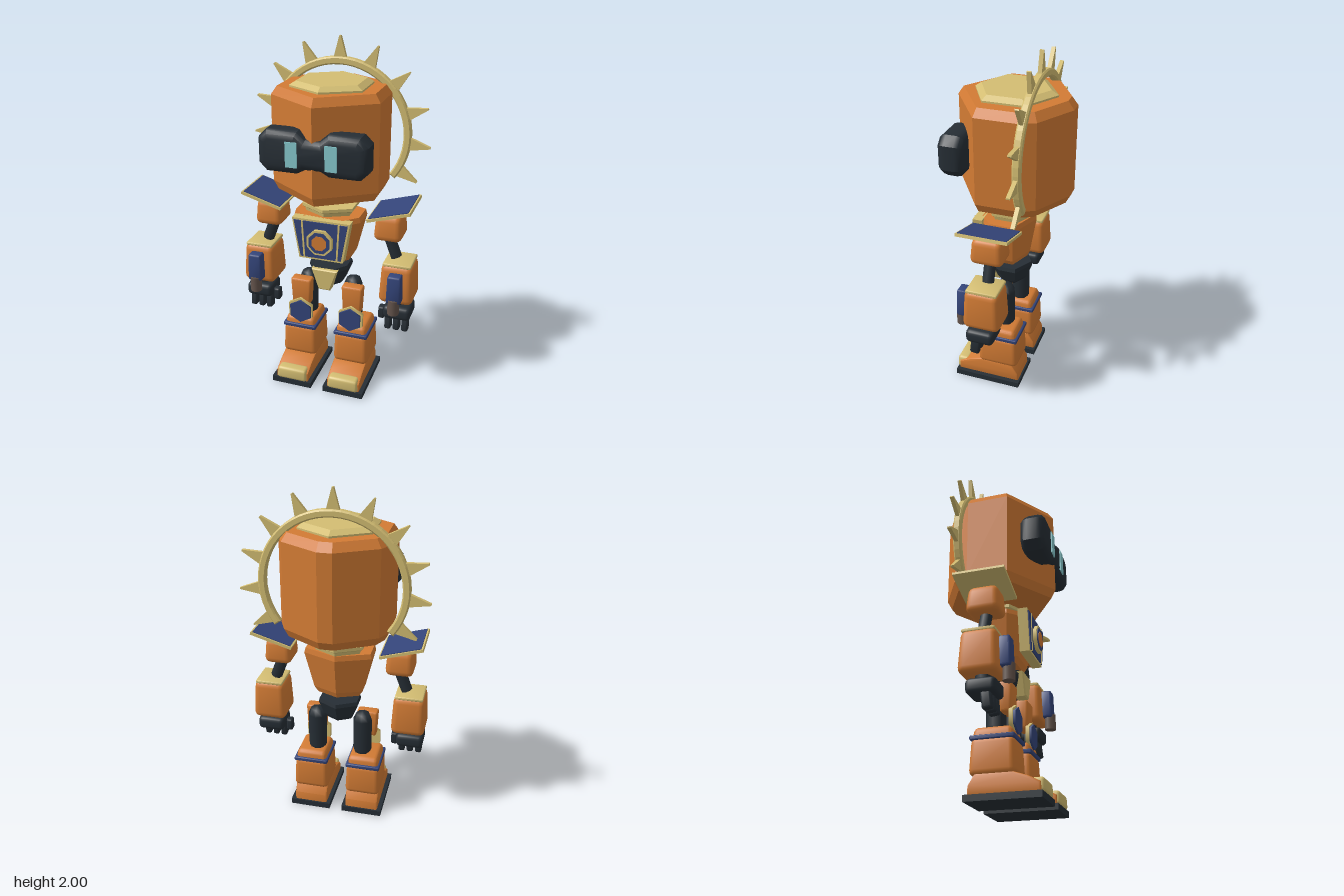
import * as THREE from 'three';
import { toCreasedNormals } from 'three/addons/utils/BufferGeometryUtils.js';
import { RoundedBoxGeometry } from 'three/addons/geometries/RoundedBoxGeometry.js';

const mat = (name, color) => {
  const m = new THREE.MeshStandardMaterial({ color });
  m.name = name;
  return m;
};

// Stack of scaled copies of a left-right symmetric polygon.
// half: [x, z] points from front to back on the +x side; levels: [y, scale].
function loft(half, levels) {
  const mirror = half.filter(p => p[0] > 0).reverse().map(([x, z]) => [-x, z]);
  const poly = half.concat(mirror), n = poly.length, pos = [];
  const pt = (l, i) => {
    const [y, s] = levels[l], [x, z] = poly[i % n];
    return [x * s, y, z * s];
  };
  const tri = (a, b, c) => pos.push(...a, ...b, ...c);
  for (let l = 0; l < levels.length - 1; l++) {
    for (let i = 0; i < n; i++) {
      tri(pt(l, i), pt(l, i + 1), pt(l + 1, i + 1));
      tri(pt(l, i), pt(l + 1, i + 1), pt(l + 1, i));
    }
  }
  const top = levels.length - 1;
  for (let i = 1; i < n - 1; i++) {
    tri(pt(top, 0), pt(top, i), pt(top, i + 1));
    tri(pt(0, 0), pt(0, i + 1), pt(0, i));
  }
  const g = new THREE.BufferGeometry();
  g.setAttribute('position', new THREE.Float32BufferAttribute(pos, 3));
  g.computeVertexNormals();
  return g;
}

// Rounded box whose top is scaled by `taper` relative to its bottom
function block(w, h, d, r, taper = 1) {
  const g = new RoundedBoxGeometry(w, h, d, 2, r), p = g.attributes.position;
  for (let i = 0; i < p.count; i++) {
    const k = 1 + (taper - 1) * (p.getY(i) / h + 0.5);
    p.setX(i, p.getX(i) * k);
    p.setZ(i, p.getZ(i) * k);
  }
  return toCreasedNormals(g, 0.6);
}

// Flat plate cut from an outline in the xy plane
function plate(points, depth, bevel = 0, segments = 1) {
  const shape = new THREE.Shape(points.map(([x, y]) => new THREE.Vector2(x, y)));
  return new THREE.ExtrudeGeometry(shape, {
    depth, bevelEnabled: bevel > 0, bevelSize: bevel, bevelThickness: bevel, bevelSegments: segments,
  });
}

// Trapezoid outline
const trap = (top, bottom, y0, y1) => [[-bottom, y0], [bottom, y0], [top, y1], [-top, y1]];

// Disc or polygon facing the front
const disc = (r, depth, sides, turn = 0) =>
  new THREE.CylinderGeometry(r, r, depth, sides, 1, false, turn).toNonIndexed().rotateX(Math.PI / 2);

export function createModel() {
  const orange = mat('orange', 0xd27b34), gold = mat('gold', 0xd3bd72), dark = mat('charcoal', 0x262e35);
  const blue = mat('navy', 0x34457a), cyan = mat('cyan', 0x87c9cd), brown = mat('brown', 0x64544c);
  const model = new THREE.Group();
  model.name = 'robot';
  const add = (name, geo, material, x = 0, y = 0, z = 0, parent = model) => {
    const m = new THREE.Mesh(geo, material);
    m.name = name;
    m.position.set(x, y, z);
    parent.add(m);
    return m;
  };

  // Head and its cap
  add('head', loft([[0, 0.308], [0.3, 0.11], [0.3, -0.125], [0.26, -0.21], [0.04, -0.337]],
    [[1.185, 0.92], [1.235, 1], [1.72, 1], [1.765, 0.9]]), orange);
  add('headCap', loft([[0, 0.21], [0.2, 0.1], [0.2, -0.125], [0, -0.245]],
    [[1.76, 1], [1.775, 1], [1.797, 0.84]]), gold);

  // Visor with two lobes, and eyes
  const lobe = [[0.055, 1.43], [0.1, 1.405], [0.235, 1.405], [0.255, 1.425],
    [0.255, 1.525], [0.235, 1.545], [0.1, 1.545], [0.055, 1.507]];
  const visor = lobe.concat(lobe.map(([x, y]) => [-x, y]).reverse());
  add('visor', toCreasedNormals(plate(visor, 0.055, 0.045, 3), 0.6), dark, 0, 0, 0.222);
  for (const s of [1, -1]) add('eye', new THREE.BoxGeometry(0.064, 0.135, 0.008), cyan, s * 0.107, 1.472, 0.325);

  // Open halo with spikes
  const halo = new THREE.Group();
  halo.name = 'halo';
  halo.position.set(0, 1.48, -0.15);
  model.add(halo);
  const a0 = -Math.PI / 5, a1 = Math.PI * 6 / 5;
  const arc = new THREE.Shape();
  arc.absarc(0, 0, 0.402, a0, a1, false);
  arc.absarc(0, 0, 0.376, a1, a0, true);
  add('haloRing', new THREE.ExtrudeGeometry(arc, {
    depth: 0.028, curveSegments: 20, bevelSize: 0.008, bevelThickness: 0.008, bevelSegments: 1,
  }), gold, 0, 0, -0.014, halo);
  const spike = plate([[-0.038, 0.395], [0.038, 0.395], [0.004, 0.52], [-0.004, 0.52]], 0.022);
  for (let i = -5; i <= 5; i++) {
    add('haloSpike', spike, gold, 0, 0, -0.011, halo).rotation.z = i * Math.PI * 24 / 180;
  }

  // Neck and torso
  add('neck', loft([[0, 0.15], [0.147, 0.075], [0.147, -0.075], [0, -0.15]],
    [[1.05, 0.85], [1.08, 0.9], [1.09, 1], [1.108, 1]]), gold);
  add('torso', loft([[0.12, 0.15], [0.195, 0.075], [0.195, -0.06], [0, -0.138]],
    [[0.775, 0.62], [0.81, 0.73], [1.03, 1], [1.06, 0.96]]), orange);

  // Chest plate and emblem
  add('chestFrame', plate(trap(0.168, 0.128, 0.82, 1.06), 0.055), gold, 0, 0, 0.128);
  add('chestPanel', plate(trap(0.156, 0.118, 0.832, 1.049), 0.006), blue, 0, 0, 0.183);
  for (const s of [1, -1]) {
    add('chestStrip', plate([[s * 0.09, 0.83], [s * 0.1, 0.83], [s * 0.112, 1.05], [s * 0.102, 1.05]]
      .slice()[s > 0 ? 'slice' : 'reverse'](), 0.008), gold, 0, 0, 0.184);
  }
  const eighth = Math.PI / 8;
  add('emblemRim', disc(0.079, 0.02, 8, eighth), gold, 0, 0.935, 0.198);
  add('emblemInlay', disc(0.066, 0.005, 8, eighth), blue, 0, 0.935, 0.209);
  add('emblemCore', disc(0.045, 0.008, 8, eighth), orange, 0, 0.935, 0.211);

  // Pelvis and its front plate
  add('pelvis', loft([[0.07, 0.11], [0.117, 0.05], [0.117, -0.05], [0, -0.115]],
    [[0.61, 0.6], [0.63, 0.72], [0.715, 1], [0.737, 0.95]]), dark);
  add('pelvisPlate', plate(trap(0.07, 0.03, 0.607, 0.723), 0.05, 0.007), gold, 0, 0, 0.075);

  for (const s of [1, -1]) {
    const arm = new THREE.Group(), leg = new THREE.Group();
    arm.name = s > 0 ? 'leftArm' : 'rightArm';
    leg.name = s > 0 ? 'leftLeg' : 'rightLeg';
    model.add(arm, leg);

    // Tilted shoulder pad
    const pad = new THREE.Group();
    pad.name = 'shoulderPad';
    pad.position.set(s * 0.368, 1.115, 0.008);
    pad.rotation.z = s * 0.287;
    arm.add(pad);
    add('padBase', new THREE.BoxGeometry(0.247, 0.016, 0.285), gold, 0, 0, 0, pad);
    add('padInlay', new THREE.BoxGeometry(0.228, 0.006, 0.268), blue, 0, 0.009, 0, pad);

    // Upper arm and forearm
    add('shoulder', block(0.163, 0.15, 0.19, 0.035, 0.85), orange, s * 0.352, 1.02, 0.01, arm);
    add('upperArm', new THREE.CylinderGeometry(0.034, 0.034, 0.18, 8), dark, s * 0.358, 0.91, 0.01, arm)
      .rotation.z = s * 0.36;
    add('forearm', block(0.198, 0.235, 0.215, 0.035, 0.88), orange, s * 0.414, 0.692, 0.017, arm);
    add('forearmCap', block(0.162, 0.02, 0.178, 0.008), gold, s * 0.414, 0.808, 0.015, arm);
    add('forearmPanel', block(0.086, 0.165, 0.07, 0.012, 0.88), blue, s * 0.417, 0.692, 0.14, arm);
    add('forearmBarrel', new THREE.CylinderGeometry(0.033, 0.033, 0.09, 10), brown, s * 0.417, 0.585, 0.155, arm);

    // Hand
    add('wrist', new THREE.CylinderGeometry(0.045, 0.045, 0.08, 8), dark, s * 0.42, 0.56, 0.025, arm);
    add('palm', block(0.158, 0.08, 0.16, 0.025), dark, s * 0.423, 0.508, 0.032, arm);
    for (let i = -1; i <= 1; i++) {
      add('finger', block(0.038, 0.11, 0.055, 0.012), dark, s * (0.42 + i * 0.05), 0.442, 0.06, arm)
        .rotation.x = -0.12;
    }
    add('thumb', block(0.038, 0.075, 0.05, 0.012), dark, s * 0.326, 0.476, 0.045, arm);
    add('thumbJoint', block(0.05, 0.03, 0.04, 0.01), dark, s * 0.345, 0.498, 0.045, arm);

    // Thigh and knee
    add('thigh', new THREE.CapsuleGeometry(0.056, 0.2, 2, 8), dark, s * 0.138, 0.5, 0, leg);
    add('thighPlate', block(0.11, 0.165, 0.06, 0.012, 1.14), orange, s * 0.156, 0.545, 0.07, leg);
    add('kneeRim', disc(0.083, 0.02, 6), gold, s * 0.156, 0.425, 0.105, leg);
    add('kneePlate', disc(0.073, 0.016, 6), blue, s * 0.153, 0.423, 0.119, leg);

    // Shin with a band
    add('shin', block(0.213, 0.195, 0.245, 0.03, 0.92), orange, s * 0.159, 0.227, 0.014, leg);
    add('shinTop', block(0.195, 0.09, 0.225, 0.025, 0.88), orange, s * 0.159, 0.335, 0.014, leg);
    add('shinBand', block(0.204, 0.025, 0.238, 0.008), blue, s * 0.159, 0.323, 0.014, leg);

    // Foot: side profile extruded across, with toe cap and sole
    const foot = plate([[0.103, 0.04], [-0.252, 0.04], [-0.25, 0.075], [-0.19, 0.105], [-0.12, 0.128],
      [0.07, 0.128], [0.1, 0.08]], 0.176, 0.012, 2);
    foot.rotateY(Math.PI / 2).translate(-0.088, 0, 0);
    add('foot', toCreasedNormals(foot, 0.6), orange, s * 0.158, 0, 0, leg);
    add('toeCap', block(0.188, 0.075, 0.075, 0.018, 0.92), gold, s * 0.158, 0.07, 0.242, leg);
    add('sole', new THREE.BoxGeometry(0.243, 0.034, 0.4), dark, s * 0.159, 0.017, 0.075, leg);
  }
  return model;
}
